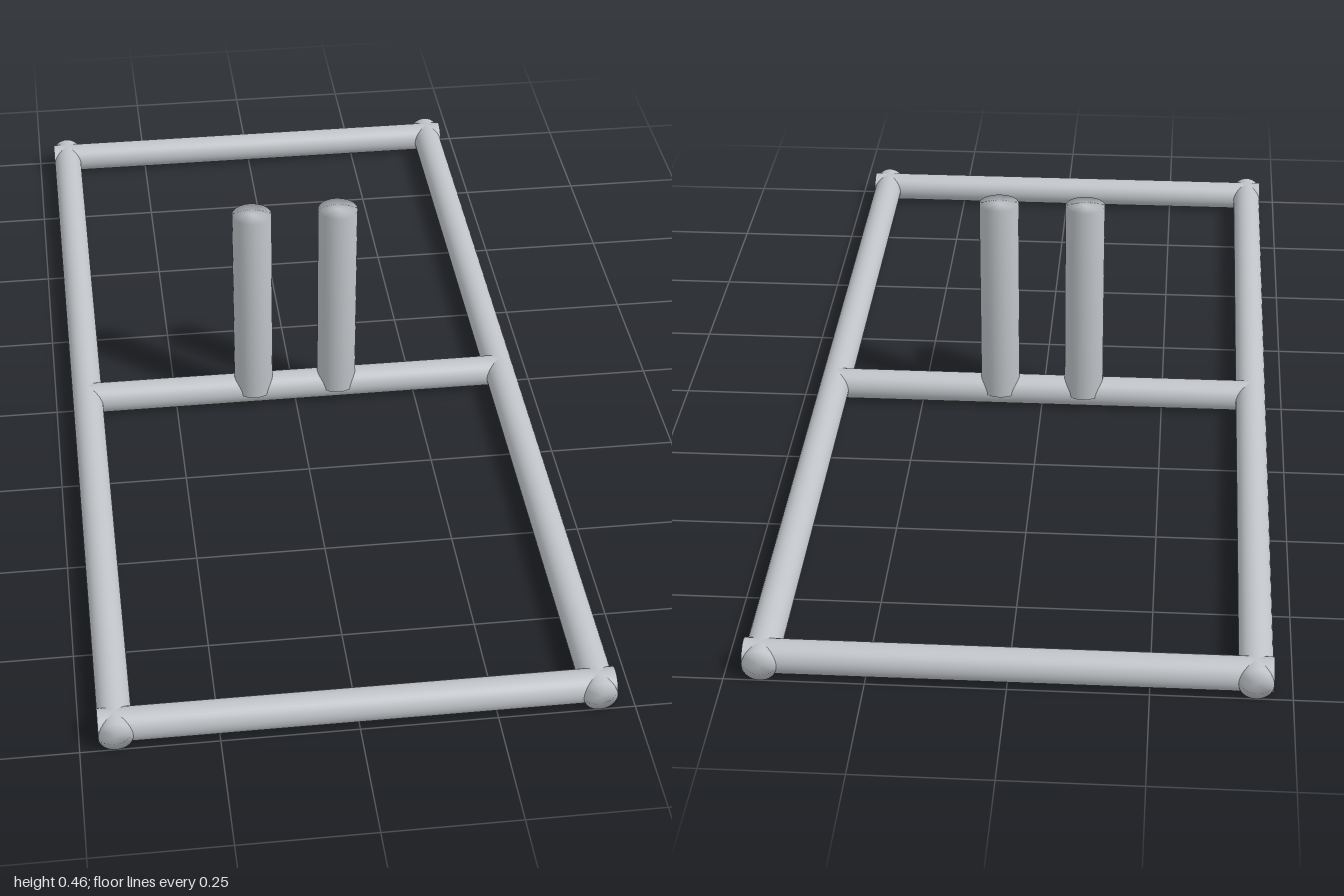
import * as THREE from 'three';
import { mergeVertices } from 'three/addons/utils/BufferGeometryUtils.js';

const steel = new THREE.MeshStandardMaterial({ color: 0xc0c4c8 });
steel.name = 'steel grey';

// Closed rod whose normals blend softly over its ends
function rod(name, radius, length, axis, x, y, z) {
  let geometry = new THREE.CylinderGeometry(radius, radius, length, 32);
  geometry.deleteAttribute('uv');
  geometry.deleteAttribute('normal');
  geometry = mergeVertices(geometry);
  geometry.computeVertexNormals();
  if (axis === 'x') geometry.rotateZ(Math.PI / 2);
  if (axis === 'z') geometry.rotateX(Math.PI / 2);
  const mesh = new THREE.Mesh(geometry, steel);
  mesh.name = name;
  mesh.position.set(x, y, z);
  return mesh;
}

export function createModel() {
  const group = new THREE.Group();
  group.name = 'tubularFrame';
  const r = 0.031, halfWidth = 0.466, halfLength = 1;
  const railX = halfWidth - r, postR = 0.04, postTop = 0.46;

  for (const [side, s] of [['left', 1], ['right', -1]]) {
    // Long side rails and upright posts
    group.add(rod(side + 'Rail', r, 2 * halfLength, 'z', s * railX, r, 0));
    group.add(rod(side + 'Post', postR, postTop - r, 'y', s * 0.087, (postTop + r) / 2, 0));
  }

  // End bars run the full width and cross the rails at the corners
  for (const [end, s] of [['front', 1], ['back', -1]]) {
    group.add(rod(end + 'Bar', r, 2 * halfWidth, 'x', 0, r, s * (halfLength - r)));
  }

  // Middle bar ends on the rail axes
  group.add(rod('middleBar', r, 2 * railX, 'x', 0, r, 0));
  return group;
}
